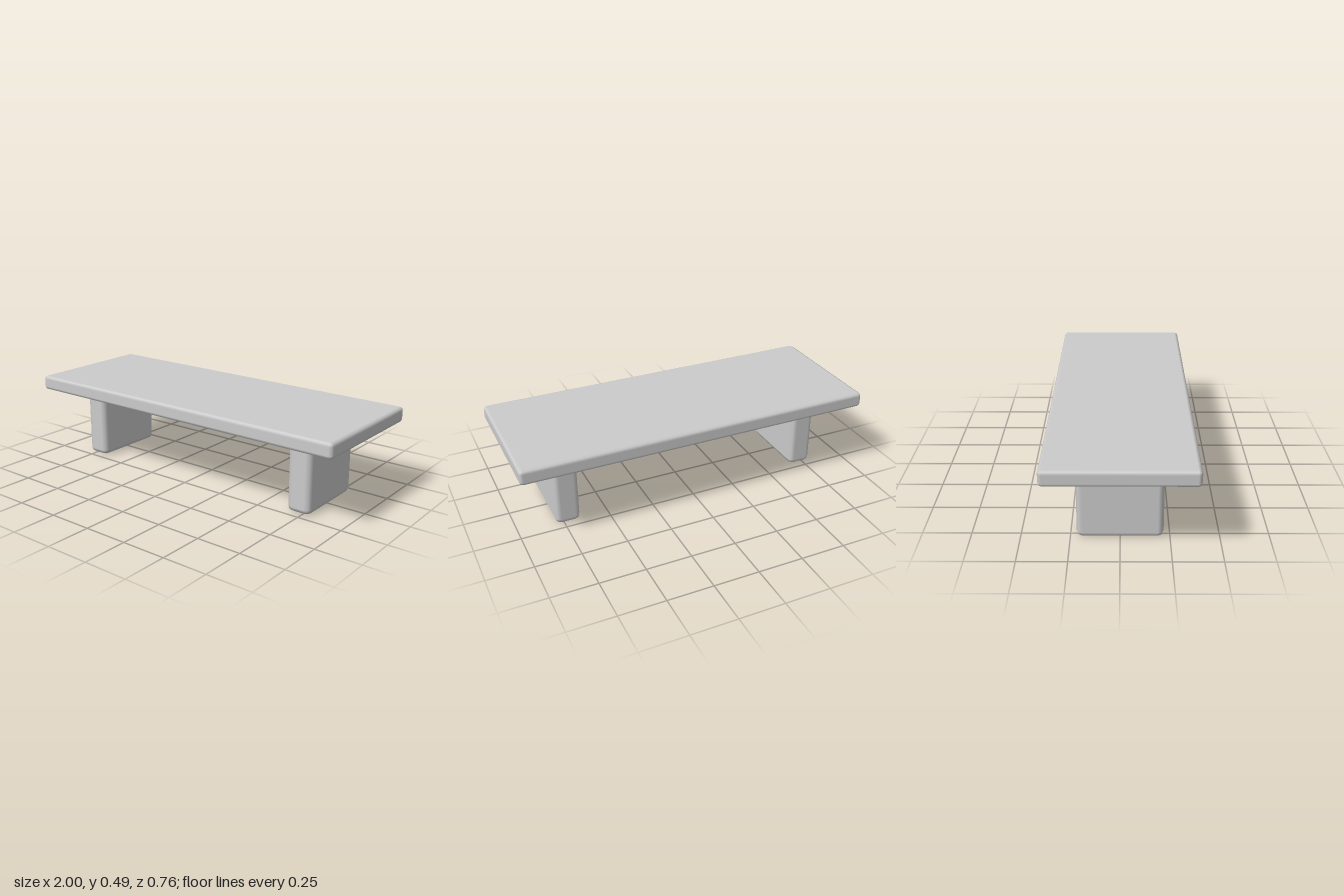
import * as THREE from 'three';
import { RoundedBoxGeometry } from 'three/addons/geometries/RoundedBoxGeometry.js';

const material = new THREE.MeshStandardMaterial({ color: 0xcccccc });

// Box with softly bevelled edges, placed by its bottom height
function slab(name, width, height, depth, bevel, x, bottom) {
  const mesh = new THREE.Mesh(new RoundedBoxGeometry(width, height, depth, 1, bevel), material);
  mesh.name = name;
  mesh.position.set(x, bottom + height / 2, 0);
  return mesh;
}

export function createModel() {
  const table = new THREE.Group();
  table.name = 'lowTable';

  // Long flat top
  table.add(slab('tableTop', 2, 0.085, 0.758, 0.02, 0, 0.402));

  // Two panel legs, their upper ends sunk into the top
  for (const side of [1, -1]) {
    table.add(slab(side > 0 ? 'leftLeg' : 'rightLeg', 0.136, 0.44, 0.437, 0.03, side * 0.726, 0));
  }
  return table;
}
